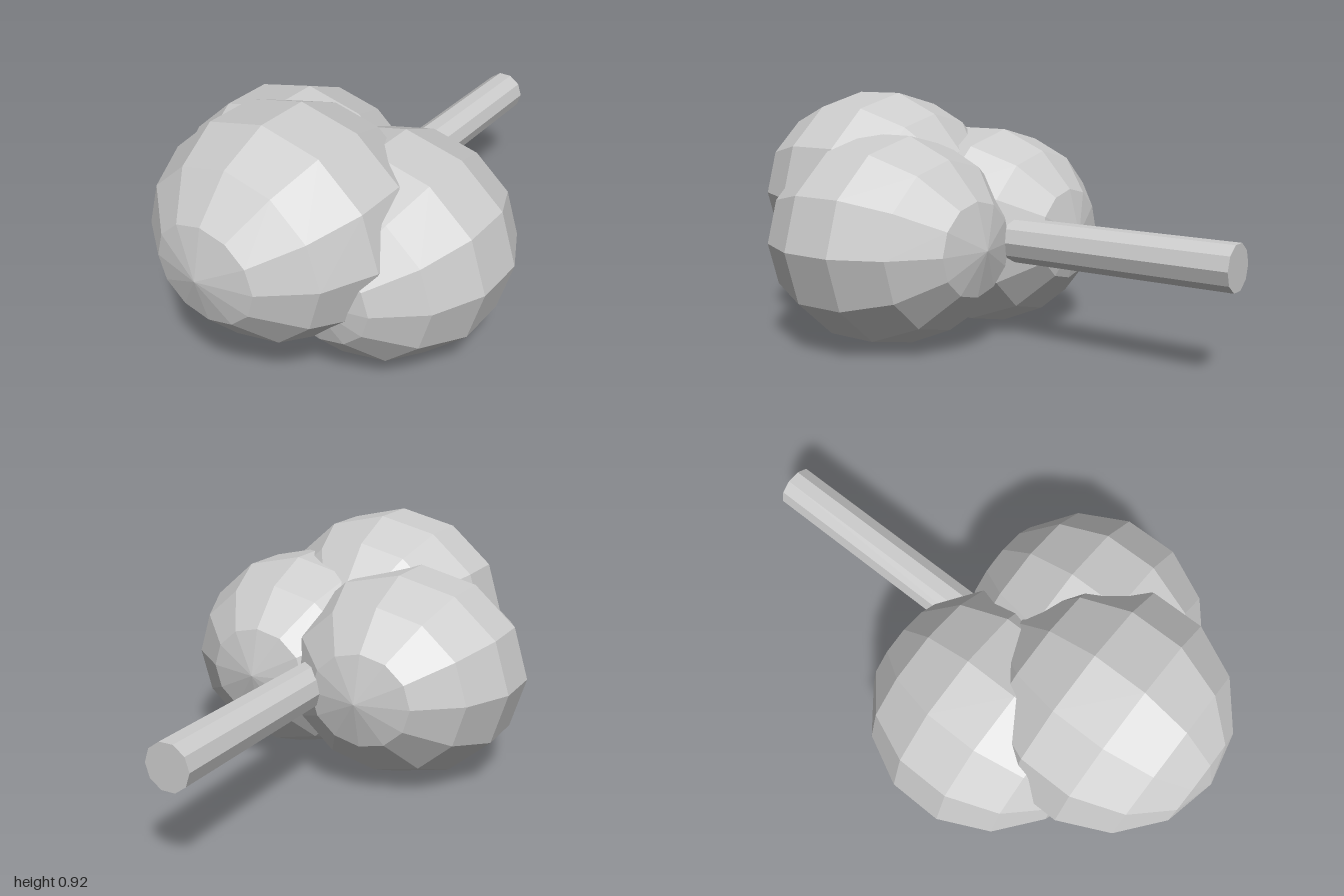
import * as THREE from 'three';

export function createModel() {
  const model = new THREE.Group();
  const grey = new THREE.MeshStandardMaterial({ color: 0xcccccc, flatShading: true });
  grey.name = 'light grey';

  function add(name, geometry, x, y, z) {
    const mesh = new THREE.Mesh(geometry, grey);
    mesh.name = name;
    mesh.position.set(x, y, z);
    model.add(mesh);
  }

  // Three slightly flattened low-poly lobes, poles along z
  const lobe = new THREE.SphereGeometry(0.455, 12, 7).rotateX(Math.PI / 2).scale(1, 0.88, 1);
  add('frontLobe', lobe, 0, 0.535, 0.545);
  add('leftLobe', lobe, 0.24, 0.392, 0.285);
  add('rightLobe', lobe, -0.24, 0.392, 0.2);

  // Straight ten-sided stem running back from between the lobes
  const length = 1.25;
  const stem = new THREE.CylinderGeometry(0.084, 0.084, length, 10, 1, false, Math.PI / 2).rotateX(Math.PI / 2);
  add('stem', stem, 0, 0.394, -1 + length / 2);

  return model;
}
